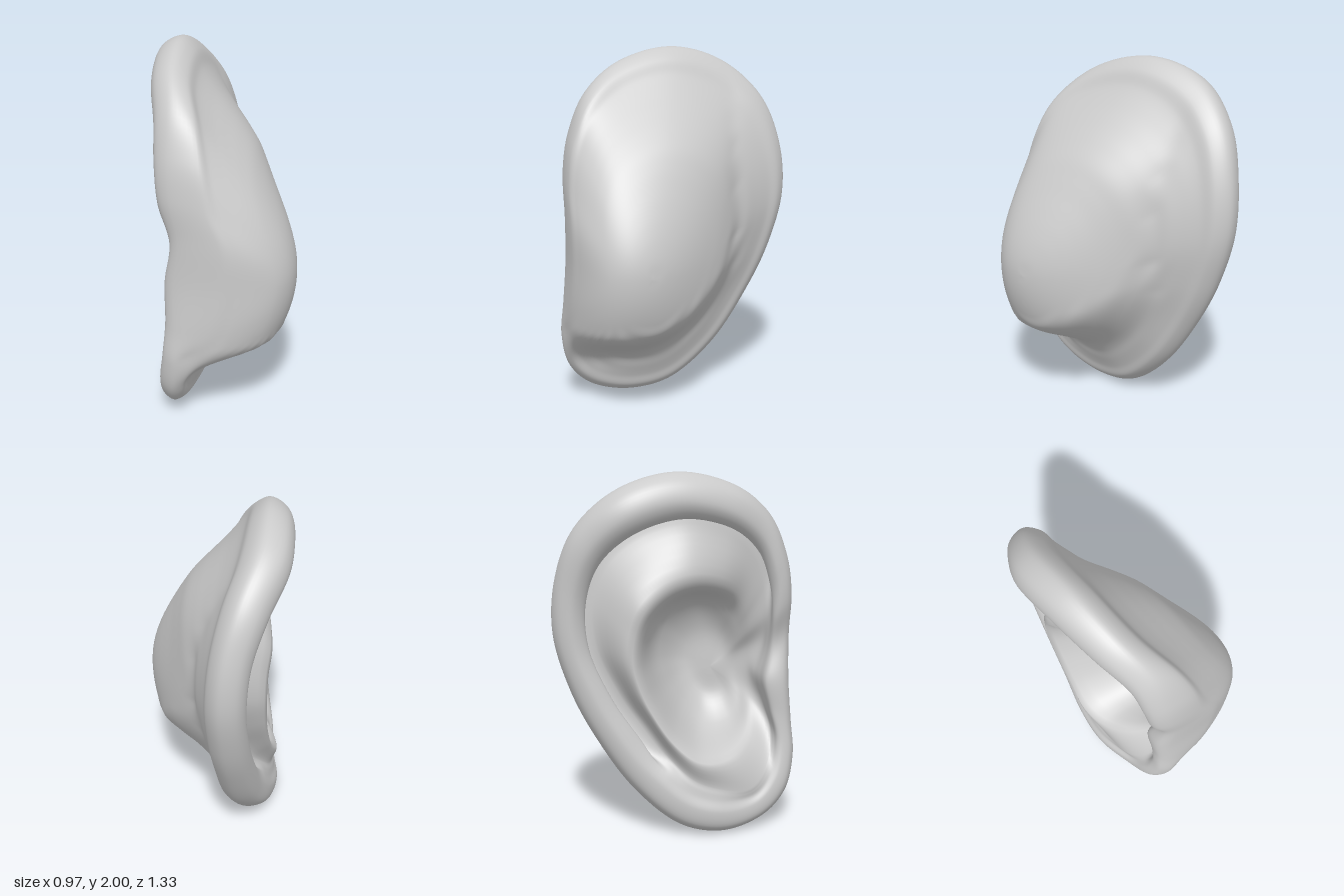
import * as THREE from 'three';
import { mergeVertices } from 'three/addons/utils/BufferGeometryUtils.js';

const { smoothstep, clamp, lerp } = THREE.MathUtils;

// Middle of the hollow, from which every radial profile starts.
const CZ = 0.2, CY = 0.85;

// Stations round the outline, from the top down the front and up the back:
// z, y, rim x, rim half thickness | x of: bowl wall, inner fold, groove
const STATIONS = [
  [0.00, 2.00, -0.29, 0.13, 0.08, -0.26, -0.18],
  [0.30, 1.93, -0.20, 0.12, 0.08, -0.14, -0.10],
  [0.50, 1.77, -0.11, 0.11, 0.08, -0.02, -0.03],
  [0.60, 1.55, -0.08, 0.10, 0.10, 0.04, 0.01],
  [0.635, 1.33, -0.06, 0.09, 0.13, 0.08, 0.03],
  [0.63, 1.10, -0.02, 0.07, 0.17, 0.14, 0.08],
  [0.63, 0.85, -0.05, 0.08, 0.18, 0.14, 0.07],
  [0.65, 0.60, -0.04, 0.08, 0.17, 0.12, 0.04],
  [0.665, 0.40, -0.05, 0.08, 0.14, 0.04, -0.04],
  [0.62, 0.20, -0.08, 0.09, 0.10, -0.08, -0.14],
  [0.48, 0.06, -0.13, 0.09, 0.08, -0.20, -0.22],
  [0.25, 0.00, -0.19, 0.12, 0.07, -0.29, -0.28],
  [0.00, 0.06, -0.21, 0.13, 0.06, -0.34, -0.30],
  [-0.25, 0.28, -0.22, 0.12, 0.04, -0.35, -0.26],
  [-0.45, 0.58, -0.24, 0.11, 0.02, -0.36, -0.22],
  [-0.58, 0.85, -0.25, 0.11, 0.00, -0.37, -0.21],
  [-0.66, 1.15, -0.26, 0.11, 0.00, -0.38, -0.21],
  [-0.64, 1.45, -0.28, 0.11, 0.02, -0.38, -0.21],
  [-0.53, 1.72, -0.32, 0.12, 0.04, -0.38, -0.21],
  [-0.30, 1.92, -0.35, 0.13, 0.06, -0.33, -0.20],
];

// Rounded swelling on the back of the hollow.
function bulge(z, y) {
  const rise = Math.sin(clamp((z + 0.33) / 0.63, 0, 1) * Math.PI / 2);
  const fall = z > 0.3 ? Math.sqrt(Math.max(0, 1 - ((z - 0.3) / 0.345) ** 2)) : 1;
  const foot = 0.23 + 1.1 * Math.max(0, 0.3 - z) ** 2;
  const low = y < 0.85 ? 1 - ((0.85 - y) / 0.8) ** 2 : 1;
  return 0.46 * rise * fall * low * smoothstep(y, foot, foot + 0.28) * (1 - smoothstep(y, 0.85, 1.98));
}

// Profile from the hollow, over the inner fold and rolled rim, to the back.
function profile([z, y, m, t, wall, fold, groove]) {
  const R = Math.hypot(z - CZ, y - CY);
  const at = (d, x) => new THREE.Vector3(x, CY + (y - CY) * d / R, CZ + (z - CZ) * d / R);
  // The rim curls over at the top and back, and flattens at the front and lobe.
  const curl = smoothstep(y - 1.2 * z, 0.3, 0.95);
  const lip = m - lerp(0.85, 0.45, curl) * t;
  const points = [
    at(0, 0.2), at(0.2 * R, 0.19), at(0.36 * R, wall), at(0.5 * R, fold),
    at(R - 2.3 * t, groove), at(R - lerp(2, 1.5, curl) * t, lerp((groove + lip) / 2, groove, curl)),
    at(R - lerp(1.7, 1.85, curl) * t, lip), at(R - 1.2 * t, m - t),
    at(R - 0.4 * t, m - 0.8 * t), at(R, m),
  ];
  for (let k = 0; k <= 12; k++) {
    const f = 0.95 * (1 - k / 12);
    const p = at(f * R, 0);
    p.x = lerp(0.03, m + 0.55 * t, smoothstep(f, 0.5, 1.05)) + bulge(p.z, p.y);
    points.push(p);
  }
  return new THREE.CatmullRomCurve3(points);
}

// Smooth closed interpolation of the stations.
function station(v) {
  const n = STATIONS.length, i = Math.floor(v * n), f = v * n - i;
  const [a, b, c, d] = [-1, 0, 1, 2].map((k) => STATIONS[(i + k + n) % n]);
  return b.map((_, k) => 0.5 * (2 * b[k] + (c[k] - a[k]) * f
    + (2 * a[k] - 5 * b[k] + 4 * c[k] - d[k]) * f * f
    + (3 * b[k] - a[k] - 3 * c[k] + d[k]) * f * f * f));
}

function earGeometry(around = 160, along = 132) {
  const position = [], index = [];
  for (let i = 0; i < around; i++) {
    const curve = profile(station(i / around));
    for (let j = 0; j <= along; j++) position.push(...curve.getPoint(j / along).toArray());
  }
  const id = (i, j) => (i % around) * (along + 1) + j;
  for (let i = 0; i < around; i++) {
    for (let j = 0; j < along; j++) {
      const a = id(i, j), b = id(i + 1, j), c = id(i, j + 1), d = id(i + 1, j + 1);
      if (j > 0) index.push(a, b, c);
      if (j < along - 1) index.push(b, d, c);
    }
  }
  const raw = new THREE.BufferGeometry();
  raw.setAttribute('position', new THREE.Float32BufferAttribute(position, 3));
  raw.setIndex(index);
  const geometry = mergeVertices(raw, 1e-5);
  geometry.computeVertexNormals();
  return geometry;
}

export function createModel() {
  const group = new THREE.Group();
  group.name = 'ear';
  const shell = new THREE.Mesh(earGeometry(), new THREE.MeshStandardMaterial({ color: 0xcccccc }));
  shell.name = 'earShell';
  group.add(shell);
  return group;
}
